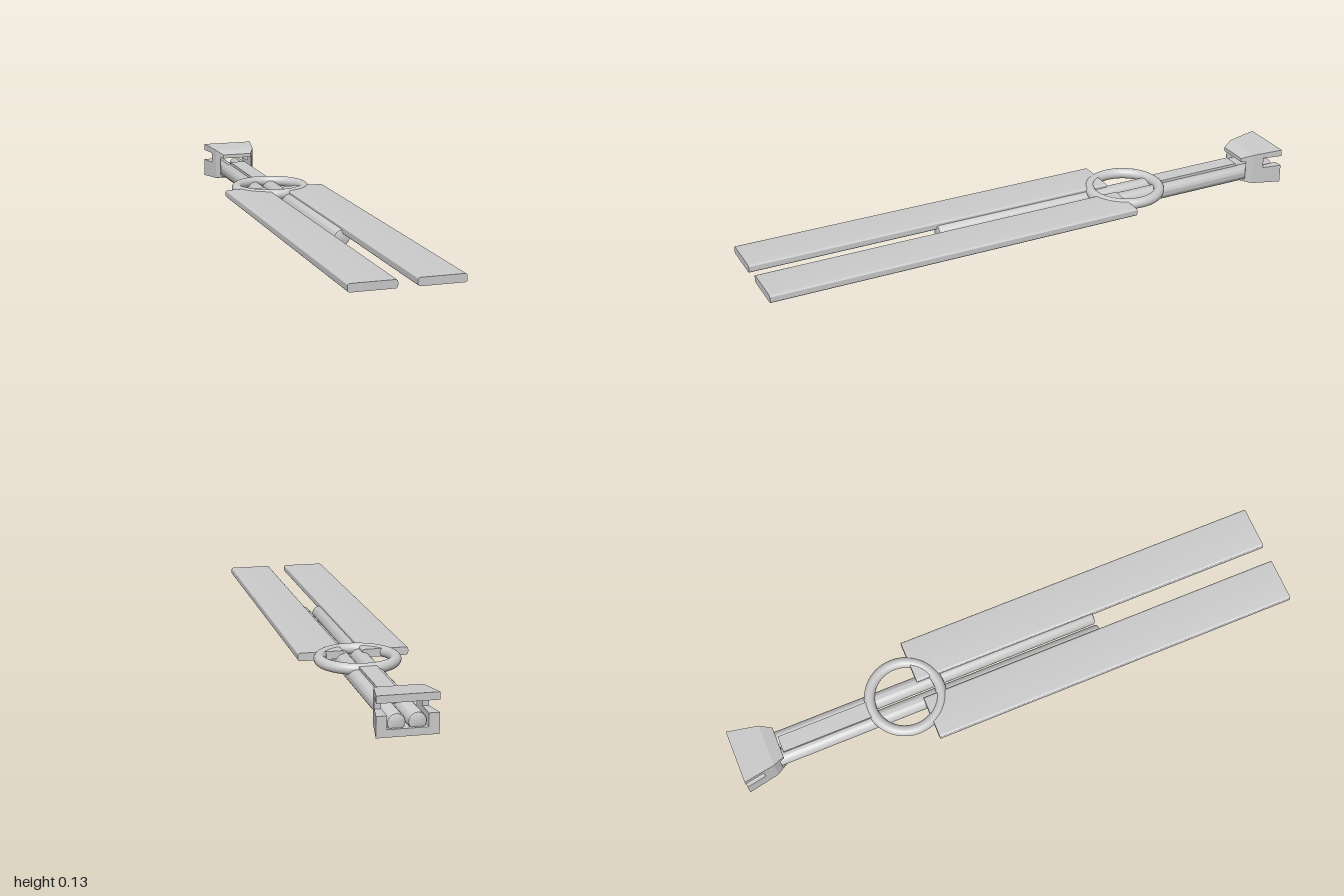
import * as THREE from 'three';
import { toCreasedNormals } from 'three/addons/utils/BufferGeometryUtils.js';

const material = new THREE.MeshStandardMaterial({ color: 0xcccccc, side: THREE.DoubleSide });

function add(parent, name, geometry, x = 0, y = 0, z = 0) {
  const mesh = new THREE.Mesh(geometry, material);
  mesh.name = name;
  mesh.position.set(x, y, z);
  parent.add(mesh);
  return mesh;
}

// Solid through rectangular sections [z, x0, x1, y0, y1], ordered from front to back
function loft(sections) {
  const pos = [];
  const quad = (a, b, c, d) => pos.push(...a, ...b, ...c, ...a, ...c, ...d);
  const rings = sections.map(([z, x0, x1, y0, y1]) =>
    [[x0, y0, z], [x1, y0, z], [x1, y1, z], [x0, y1, z]]);
  for (let i = 0; i < rings.length - 1; i++) {
    for (let k = 0; k < 4; k++) {
      const n = (k + 1) % 4;
      quad(rings[i][k], rings[i + 1][k], rings[i + 1][n], rings[i][n]);
    }
  }
  const [a, b, c, d] = rings[0];
  quad(a, b, c, d);
  const [e, f, g, h] = rings[rings.length - 1];
  quad(h, g, f, e);
  const geometry = new THREE.BufferGeometry();
  geometry.setAttribute('position', new THREE.Float32BufferAttribute(pos, 3));
  geometry.computeVertexNormals();
  return geometry;
}

// Flat strip with softened long edges, running along z
function plateGeometry(w, h, length, r) {
  const s = new THREE.Shape();
  const x = w / 2, y = h / 2;
  s.moveTo(-x + r, -y);
  s.lineTo(x - r, -y).quadraticCurveTo(x, -y, x, -y + r);
  s.lineTo(x, y - r).quadraticCurveTo(x, y, x - r, y);
  s.lineTo(-x + r, y).quadraticCurveTo(-x, y, -x, y - r);
  s.lineTo(-x, -y + r).quadraticCurveTo(-x, -y, -x + r, -y);
  const geometry = new THREE.ExtrudeGeometry(s, { depth: length, bevelEnabled: false, curveSegments: 5 });
  return toCreasedNormals(geometry, 0.6);
}

// Round rod with eased ends, from z = 0 forward
function rodGeometry(r, length) {
  const e = 0.006;
  const profile = [[0, 0], [r - e, 0], [r - e * 0.3, e * 0.3], [r, e],
    [r, length - e], [r - e * 0.3, length - e * 0.3], [r - e, length], [0, length]]
    .map(([x, y]) => new THREE.Vector2(x, y));
  return toCreasedNormals(new THREE.LatheGeometry(profile, 32).rotateX(Math.PI / 2), 0.6);
}

// Outer envelope of the flared head at depth z: half width, bottom and top
function envelope(z) {
  const stations = [[-0.85, 0.056, 0.02, 0.108], [-0.89, 0.076, 0.008, 0.121], [-1, 0.096, 0, 0.128]];
  const i = z >= -0.89 ? 0 : 1;
  const [a, b] = [stations[i], stations[i + 1]];
  const t = (z - a[0]) / (b[0] - a[0]);
  return [1, 2, 3].map((k) => a[k] + (b[k] - a[k]) * t);
}

export function createModel() {
  const group = new THREE.Group();

  // Paired strips and rods
  for (const [side, s] of [['left', 1], ['right', -1]]) {
    add(group, side + 'Strip', plateGeometry(0.156, 0.027, 1.333, 0.009), s * 0.109, 0.0655, -0.333);
    add(group, side + 'Rod', rodGeometry(0.0285, 1.323), s * 0.032, 0.04, -0.99);
  }

  // Ring lying flat around the strip ends
  add(group, 'ring', new THREE.TorusGeometry(0.1245, 0.0187, 24, 72).rotateX(Math.PI / 2), 0, 0.0655, -0.388);

  // Short bar on top of the rods
  add(group, 'topBar', new THREE.BoxGeometry(0.058, 0.026, 0.345), 0, 0.065, -0.6725);

  // Flared head: a channel with side walls, notched at the rear
  const head = new THREE.Group();
  head.name = 'head';
  group.add(head);
  add(head, 'headFloor', loft([-0.85, -0.89, -1].map((z) => {
    const [w, lo] = envelope(z);
    return [z, -w, w, lo, 0.024];
  })));
  add(head, 'headTop', loft([-0.85, -0.89, -0.93, -0.9301, -1].map((z) => {
    const [w, , hi] = envelope(z);
    return [z, -w, w, z >= -0.93 ? 0.094 : 0.104, hi];
  })));
  for (const [side, s] of [['left', 1], ['right', -1]]) {
    const wall = (zs, top) => loft(zs.map((z) => {
      const [w, lo, hi] = envelope(z);
      const xs = [s * 0.063, s * w].sort((p, q) => p - q);
      return [z, ...xs, lo, Math.min(hi, top)];
    }));
    add(head, side + 'HeadWall', wall([-0.866, -0.89, -0.93], 0.11));
    add(head, side + 'HeadLowerJaw', wall([-0.93, -1], 0.066));
  }
  return group;
}
